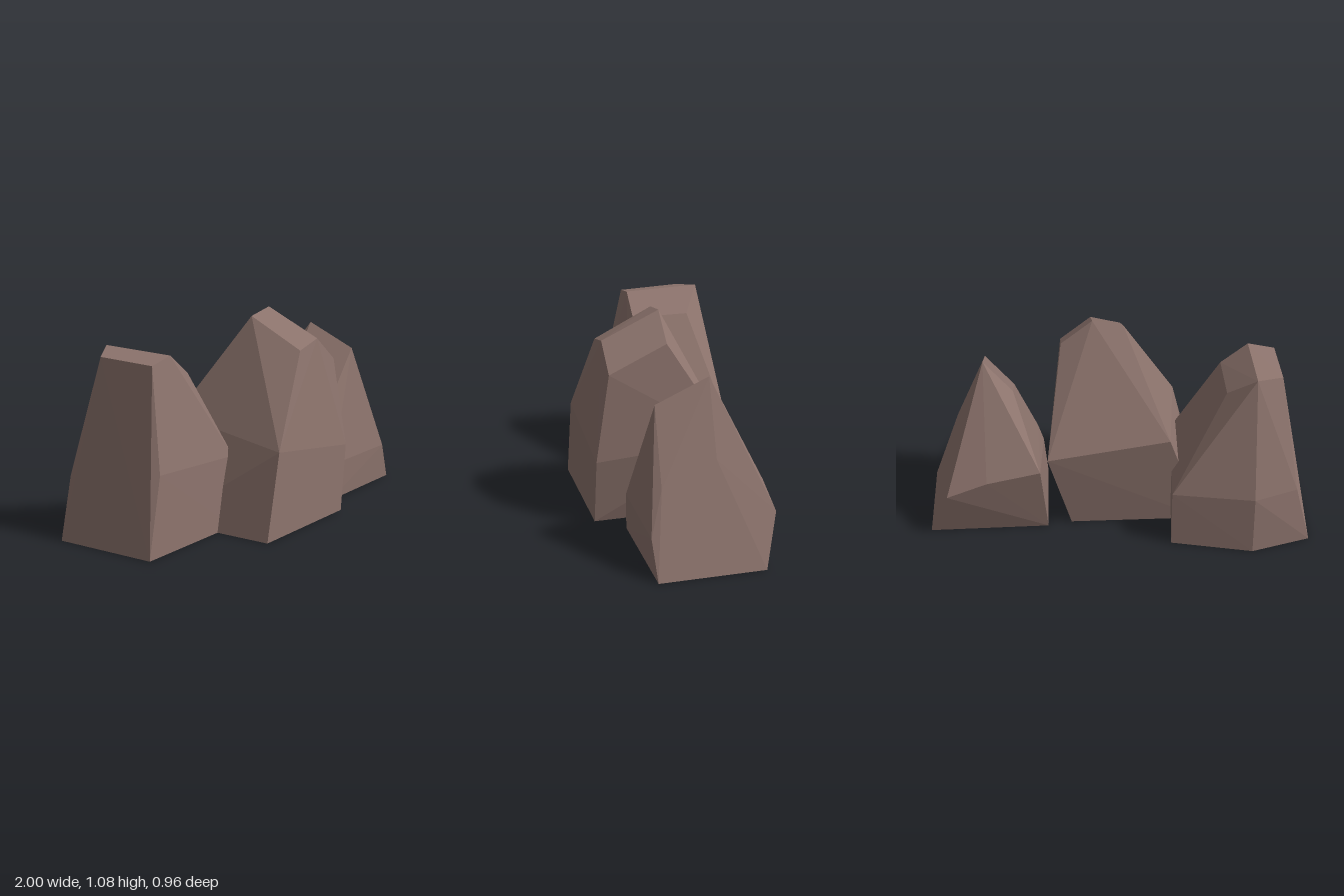
import * as THREE from 'three';
import { ConvexGeometry } from 'three/addons/geometries/ConvexGeometry.js';

const stone = new THREE.MeshStandardMaterial({ color: 0x8d746d, flatShading: true });

// A faceted boulder: the convex hull of its corner points
function rock(name, corners) {
  const points = corners.map(([x, y, z]) => new THREE.Vector3(x, y, z));
  const mesh = new THREE.Mesh(new ConvexGeometry(points), stone);
  mesh.name = name;
  return mesh;
}

export function createModel() {
  const group = new THREE.Group();
  group.name = 'rockCluster';

  // Rear rock with a narrow crest running front to back
  group.add(rock('rearRock', [
    [-1, 0, 0.175], [-1, 0, -0.385], [-0.69, 0, -0.48], [-0.27, 0, -0.385], [-0.32, 0, 0.175], // base
    [-0.9, 0.4, 0.165], [-0.92, 0.32, -0.385], [-0.69, 0.32, -0.475], [-0.27, 0.31, -0.385], [-0.3, 0.37, 0.165], // waist
    [-0.83, 0.91, 0.07], [-0.69, 0.94, 0.07], [-0.55, 0.83, 0.07], // crest front
    [-0.83, 0.92, -0.25], [-0.69, 0.95, -0.33], [-0.55, 0.83, -0.24], // crest back
  ]));

  // Tall middle rock whose crest slopes down to the front
  group.add(rock('middleRock', [
    [-0.45, 0, 0.48], [0.25, 0, 0.48], [0.25, 0, -0.17], [-0.45, 0, -0.17], // base
    [-0.34, 0.44, 0.475], [0.3, 0.35, 0.475], [0.37, 0.43, -0.22], [-0.27, 0.53, -0.22], // waist
    [-0.04, 0.9, 0.4], [0.12, 0.94, 0.4], [0.285, 0.81, 0.4], // crest front
    [-0.04, 1.05, 0.1], [0.12, 1.08, 0.1], [0.285, 0.95, 0.1], // crest back
  ]));

  // Small pointed rock
  group.add(rock('smallRock', [
    [0.37, 0, 0.34], [1, 0, 0.335], [1, 0, -0.21], [0.375, 0, -0.2], // base
    [0.42, 0.31, 0.32], [0.92, 0.2, 0.348], [0.39, 0.2, 0.345], [0.855, 0.42, 0.28], // front waist
    [0.41, 0.39, -0.27], [0.69, 0.34, -0.283], [0.9, 0.26, -0.283], [0.83, 0.535, 0], // back and side waist
    [0.54, 0.61, 0.27], [0.69, 0.79, 0.27], [0.54, 0.73, 0], [0.69, 0.91, 0], // peak
  ]));

  return group;
}
